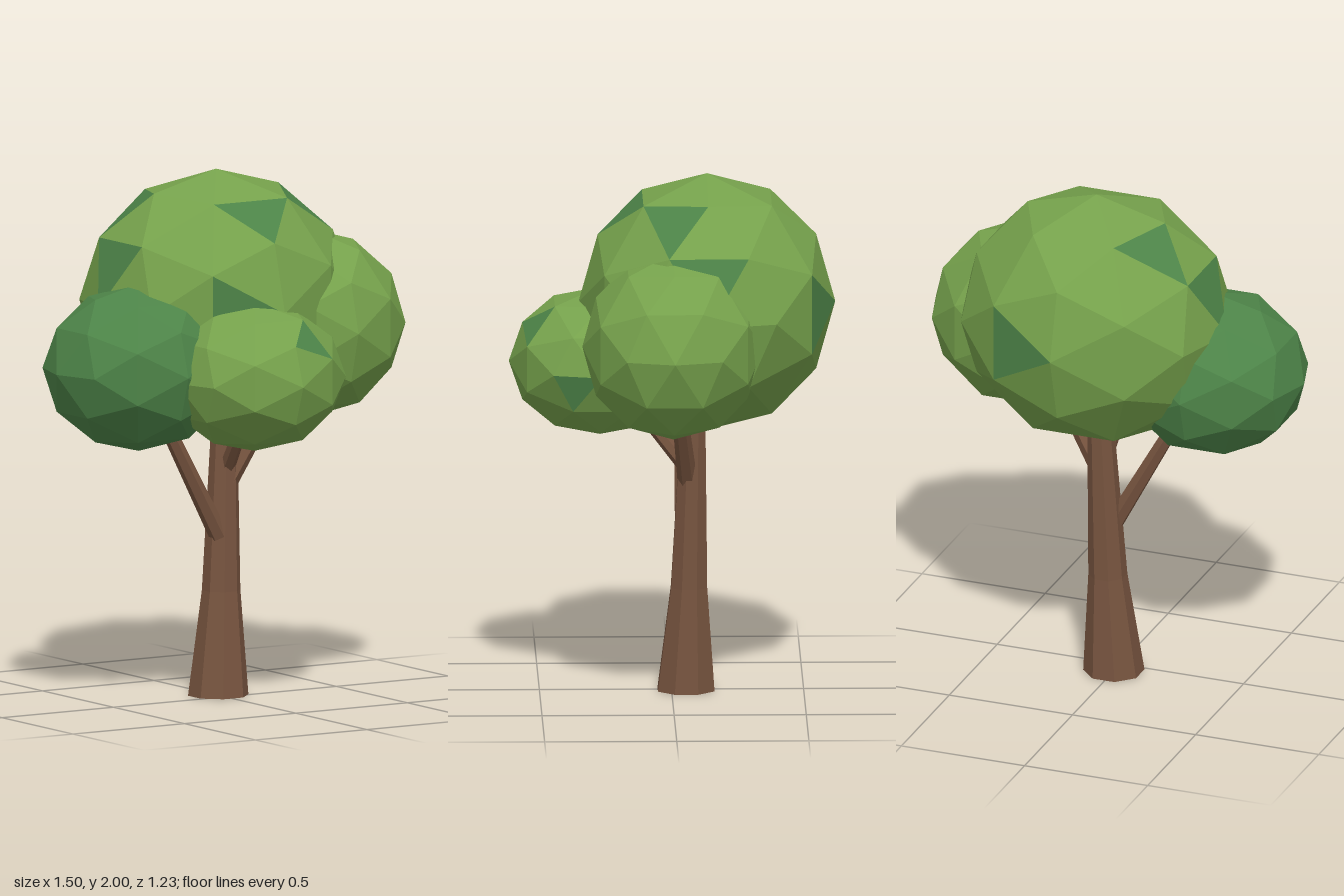
import * as THREE from 'three';

export function createModel() {
  const tree = new THREE.Group();
  tree.name = 'tree';
  const flat = (name, color) => {
    const m = new THREE.MeshStandardMaterial({ color, flatShading: true });
    m.name = name;
    return m;
  };
  const bark = flat('bark brown', 0x77543f);
  const leaf = flat('leaf green', 0x76a24c);
  const deepLeaf = flat('deep leaf green', 0x4d8448);

  const add = (name, geometry, material) => {
    const mesh = new THREE.Mesh(geometry, material);
    mesh.name = name;
    tree.add(mesh);
    return mesh;
  };

  // Trunk: three rings [x, y, z, radius], flaring towards the ground
  const rings = [[0.005, 0, -0.055, 0.116], [0.025, 0.4, -0.066, 0.074], [0.055, 1.2, -0.085, 0.044]];
  const trunk = new THREE.CylinderGeometry(1, 1, 2, 8, 2);
  trunk.rotateY(Math.PI / 8);
  const p = trunk.attributes.position;
  for (let i = 0; i < p.count; i++) {
    const [x, y, z, r] = rings[Math.round(p.getY(i) + 1)];
    p.setXYZ(i, x + p.getX(i) * r, y, z + p.getZ(i) * r);
  }
  add('trunk', trunk, bark);

  // Branches: tapered limbs running from the trunk into the crowns
  const branch = (name, from, to, r0, r1) => {
    const a = new THREE.Vector3(...from), b = new THREE.Vector3(...to);
    const mesh = add(name, new THREE.CylinderGeometry(r1, r0, a.distanceTo(b), 6), bark);
    mesh.position.copy(a).lerp(b, 0.5);
    mesh.quaternion.setFromUnitVectors(new THREE.Vector3(0, 1, 0), b.sub(a).normalize());
  };
  branch('rightBranch', [0.005, 0.61, -0.05], [-0.28, 1.13, -0.04], 0.037, 0.026);
  branch('leftBranch', [0.05, 0.81, -0.06], [0.27, 1.17, -0.02], 0.038, 0.028);
  branch('frontBranch', [0.045, 0.86, -0.06], [0.01, 1.12, 0.15], 0.03, 0.024);

  // Crowns: faceted ellipsoids; faces nearest the listed directions are deep green
  const crown = (name, centre, radii, base, deepDirs = []) => {
    const g = new THREE.IcosahedronGeometry(1, 1);
    const pos = g.attributes.position;
    const faces = [];
    for (let i = 0; i < pos.count; i += 3) {
      const c = new THREE.Vector3();
      for (let k = 0; k < 3; k++) c.add(new THREE.Vector3().fromBufferAttribute(pos, i + k));
      faces.push(c.normalize());
    }
    const deep = new Set(deepDirs.map((d) => {
      const v = new THREE.Vector3(...d);
      return faces.reduce((best, f, i) => (f.dot(v) > faces[best].dot(v) ? i : best), 0);
    }));
    g.clearGroups();
    faces.forEach((f, i) => g.addGroup(i * 3, 3, deep.has(i) ? 1 : 0));
    g.scale(...radii);
    add(name, g, [base, deepLeaf]).position.set(...centre);
  };
  crown('mainCrown', [0.045, 1.505, -0.133], [0.53, 0.495, 0.486], leaf, [
    [-0.55, 0.72, -0.27], [0.55, 0.72, 0.27], [0, 0.72, 0.62], [-0.33, 0, 0.9],
    [0.94, 0.36, 0], [0.33, 0, -0.94], [-0.94, 0.36, 0],
  ]);
  crown('rightCrown', [-0.38, 1.29, -0.01], [0.37, 0.32, 0.35], deepLeaf);
  crown('leftCrown', [0.38, 1.4, 0], [0.37, 0.36, 0.345], leaf);
  crown('frontCrown', [-0.04, 1.262, 0.27], [0.348, 0.284, 0.345], leaf, [
    [0.27, 0.55, 0.72], [0.89, -0.17, 0.28],
  ]);

  return tree;
}
